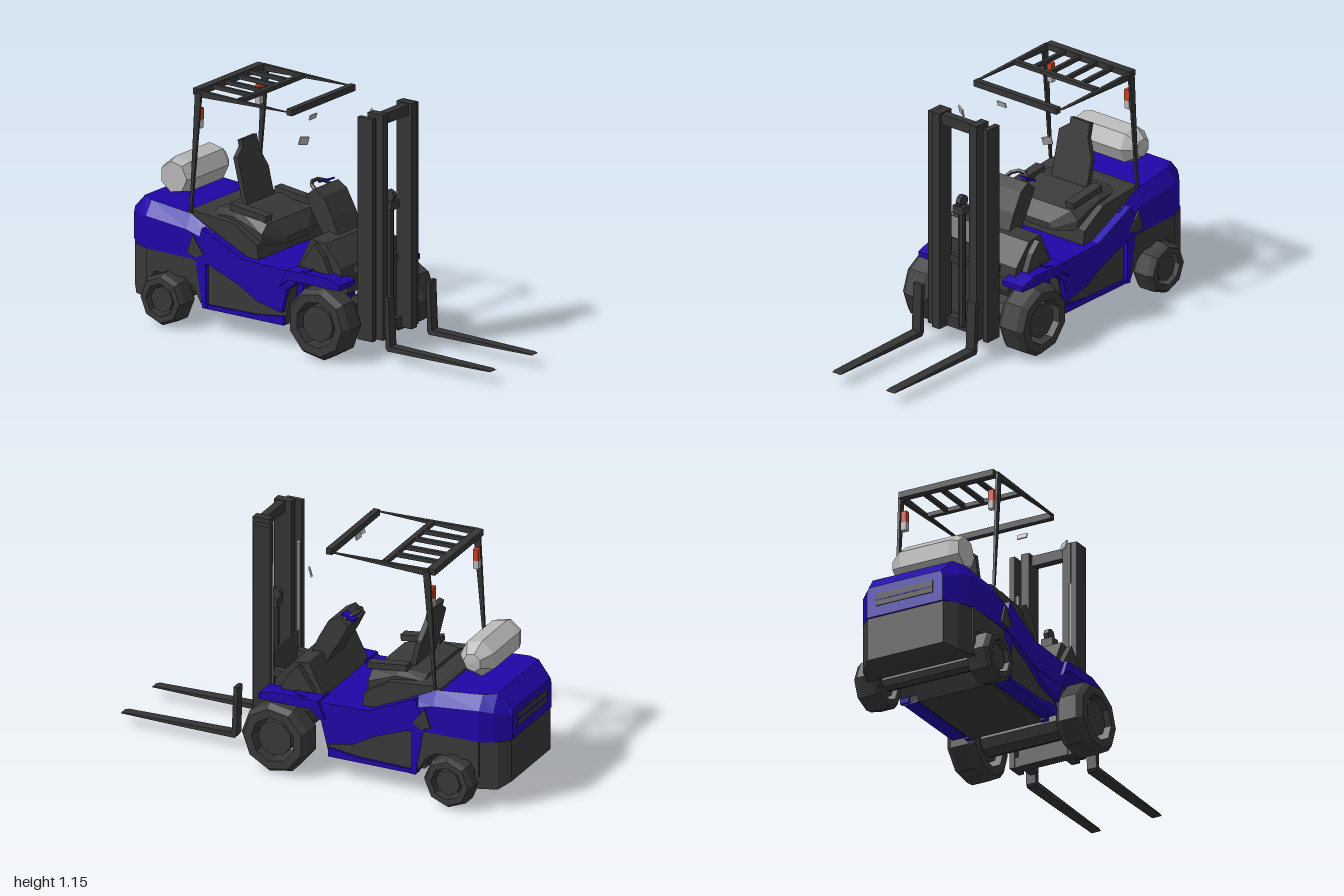
import * as THREE from 'three';

const mat = (name, color, side = THREE.FrontSide) => {
  const m = new THREE.MeshStandardMaterial({ color, flatShading: true, side });
  m.name = name;
  return m;
};

export function createModel() {
  const blue = mat('body blue', 0x2005a6);
  const dark = mat('dark plastic', 0x383838);
  const steel = mat('dark steel', 0x343434);
  const grey = mat('light grey', 0xb8b8b8, THREE.DoubleSide);
  const red = mat('signal red', 0xc8431f);

  const root = new THREE.Group();
  const add = (name, geo, m, x = 0, y = 0, z = 0) => {
    const mesh = new THREE.Mesh(geo, m);
    mesh.name = name;
    mesh.position.set(x, y, z);
    root.add(mesh);
    return mesh;
  };
  // box given by its extents
  const box = (name, m, x0, x1, y0, y1, z0, z1) =>
    add(name, new THREE.BoxGeometry(x1 - x0, y1 - y0, z1 - z0), m, (x0 + x1) / 2, (y0 + y1) / 2, (z0 + z1) / 2);
  // side profile of [z, y] points, extruded across x from x0 to x1
  const side = (name, m, pts, x0, x1) => {
    const shape = new THREE.Shape(pts.map(([z, y]) => new THREE.Vector2(z, y)));
    const geo = new THREE.ExtrudeGeometry(shape, { depth: x1 - x0, bevelEnabled: false });
    geo.rotateY(-Math.PI / 2);
    return add(name, geo, m, x1, 0, 0);
  };
  // square bar between two points
  const bar = (name, m, a, b, w, h) => {
    const p = new THREE.Vector3(...a), q = new THREE.Vector3(...b);
    const mesh = add(name, new THREE.BoxGeometry(w, h, p.distanceTo(q)), m);
    mesh.position.copy(p).add(q).multiplyScalar(0.5);
    mesh.lookAt(q);
    return mesh;
  };
  // loft along z, front to back: [z, lower half width, upper half width, bottom, shoulder, top]
  const loft = (name, m, sections) => {
    const pos = [], idx = [], n = 6;
    for (const [z, wb, wt, yb, ys, yt] of sections) {
      pos.push(-wb, yb, z, wb, yb, z, wb, ys, z, wt, yt, z, -wt, yt, z, -wb, ys, z);
    }
    for (let s = 0; s < sections.length - 1; s++) {
      for (let i = 0; i < n; i++) {
        const a = s * n + i, b = s * n + (i + 1) % n;
        idx.push(a, a + n, b, b, a + n, b + n);
      }
    }
    const e = (sections.length - 1) * n;
    for (let i = 1; i < n - 1; i++) idx.push(0, i, i + 1, e, e + i + 1, e + i);
    const geo = new THREE.BufferGeometry();
    geo.setAttribute('position', new THREE.Float32BufferAttribute(pos, 3));
    geo.setIndex(idx);
    geo.computeVertexNormals();
    return add(name, geo, m);
  };

  // rear counterweight: blue cover over a dark block
  loft('counterweightCover', blue, [
    [-0.5, 0.29, 0.26, 0.335, 0.43, 0.47], [-0.64, 0.29, 0.25, 0.335, 0.47, 0.535],
    [-0.87, 0.285, 0.24, 0.335, 0.49, 0.555], [-0.93, 0.26, 0.21, 0.335, 0.48, 0.56],
    [-1.0, 0.2, 0.19, 0.34, 0.46, 0.49]]);
  loft('counterweightBlock', dark, [
    [-0.85, 0.285, 0.285, 0.1, 0.3, 0.335], [-0.95, 0.25, 0.25, 0.1, 0.3, 0.335],
    [-0.995, 0.2, 0.2, 0.13, 0.3, 0.337]]);
  side('rearArches', dark, [[-0.56, 0.13], [-0.56, 0.335], [-0.87, 0.335], [-0.87, 0.16], [-0.82, 0.235],
    [-0.65, 0.235], [-0.6, 0.2]], -0.285, 0.285);
  box('rearVent', dark, -0.15, 0.15, 0.39, 0.45, -1.004, -0.99);
  box('ventSlat', blue, -0.15, 0.15, 0.417, 0.424, -1.006, -0.99);

  // chassis raised over both axles, floor and blue side panels
  side('chassis', dark, [[0.2, 0.29], [0.2, 0.36], [-0.05, 0.36], [-0.5, 0.32], [-0.86, 0.32], [-0.86, 0.24], [-0.62, 0.24],
    [-0.55, 0.1], [-0.08, 0.1], [-0.03, 0.29]], -0.19, 0.19);
  side('floorBody', blue, [[0.06, 0.4], [-0.05, 0.375], [-0.32, 0.385], [-0.55, 0.49], [-0.6, 0.335],
    [-0.5, 0.32], [-0.32, 0.25], [-0.12, 0.25], [-0.05, 0.3]], -0.292, 0.292);
  side('stepRecess', dark, [[-0.06, 0.31], [-0.1, 0.11], [-0.54, 0.11], [-0.58, 0.335]], -0.265, 0.265);
  for (const s of [-1, 1]) {
    const span = (a, b) => (s > 0 ? [a, b] : [-b, -a]);
    side('sidePanel', blue, [[-0.07, 0.29], [-0.1, 0.17], [-0.24, 0.2], [-0.45, 0.32]], ...span(0.26, 0.29));
    side('stepPlate', blue, [[-0.1, 0.15], [-0.1, 0.105], [-0.54, 0.105], [-0.54, 0.125], [-0.25, 0.13]], ...span(0.2, 0.275));
    side('rearPanelStrip', blue, [[-0.53, 0.34], [-0.53, 0.11], [-0.55, 0.11], [-0.59, 0.34]], ...span(0.24, 0.288));
    side('sideVent', dark, [[-0.54, 0.37], [-0.6, 0.45], [-0.63, 0.36], [-0.58, 0.345]], ...span(0.288, 0.297));
    // front fender with dark kick panel
    side('frontFender', blue, [[0.24, 0.34], [0.24, 0.365], [0.16, 0.39], [-0.06, 0.385], [-0.1, 0.3], [-0.05, 0.34]], ...span(0.19, 0.31));
    side('frontFrame', blue, [[-0.03, 0.3], [-0.06, 0.3], [-0.1, 0.1], [-0.07, 0.1]], ...span(0.18, 0.215));
    side('kickPanel', dark, [[0.15, 0.385], [0.11, 0.47], [0.06, 0.52], [-0.02, 0.4]], ...span(0.14, 0.26));
  }
  side('dashboard', dark, [[0.2, 0.35], [0.19, 0.42], [0.1, 0.52], [0.02, 0.53], [-0.06, 0.37]], -0.23, 0.23);

  // wheels: faceted open tyre around a recessed hub
  const wheel = (name, x, y, z, r, w, sides) => {
    const ri = r * 0.64, h = w / 2;
    const tyre = new THREE.LatheGeometry([[ri, -h], [r * 0.88, -h], [r, -h * 0.6], [r, h * 0.6], [r * 0.88, h], [ri, h], [ri, -h]]
      .map(p => new THREE.Vector2(...p)), sides);
    const hub = new THREE.CylinderGeometry(ri * 0.78, ri * 0.78, w * 0.75, sides);
    add(name + 'Tyre', tyre.rotateZ(-Math.PI / 2), dark, x, y, z);
    add(name + 'Hub', hub.rotateZ(-Math.PI / 2), dark, x, y, z);
  };
  for (const s of [-1, 1]) {
    wheel('front', s * 0.285, 0.172, 0.14, 0.172, 0.145, 9);
    wheel('rear', s * 0.295, 0.128, -0.74, 0.124, 0.12, 8);
  }
  for (const [y, z, r] of [[0.172, 0.14, 0.065], [0.128, -0.74, 0.04]]) {
    add('axle', new THREE.CylinderGeometry(r, r, 0.5, 8).rotateZ(Math.PI / 2), dark, 0, y, z);
  }

  // seat on its engine hood
  side('engineHood', dark, [[-0.26, 0.38], [-0.27, 0.45], [-0.4, 0.53], [-0.62, 0.55], [-0.66, 0.545], [-0.66, 0.4]], -0.25, 0.25);
  loft('seatCushion', dark, [
    [-0.22, 0.1, 0.08, 0.43, 0.44, 0.46], [-0.27, 0.21, 0.17, 0.44, 0.49, 0.53],
    [-0.42, 0.22, 0.18, 0.5, 0.55, 0.575], [-0.55, 0.2, 0.16, 0.5, 0.54, 0.56]]);
  for (const s of [-1, 1]) bar('armrest', dark, [s * 0.17, 0.56, -0.26], [s * 0.17, 0.585, -0.46], 0.05, 0.03);
  const back = new THREE.Shape([[-0.09, 0], [0.12, 0], [0.12, 0.14], [0.08, 0.23], [0.08, 0.3], [-0.035, 0.3], [-0.035, 0.27], [-0.09, 0.23]]
    .map(p => new THREE.Vector2(...p)));
  add('seatBack', new THREE.ExtrudeGeometry(back, { depth: 0.025, bevelEnabled: false }), dark, 0, 0.56, -0.465).rotation.x = -0.24;

  // steering column and wheel
  side('steeringColumn', dark, [[0.125, 0.43], [0.08, 0.51], [0.04, 0.6], [-0.01, 0.69], [-0.06, 0.72], [-0.11, 0.68], [-0.07, 0.6], [-0.02, 0.52], [0.03, 0.41]], -0.09, 0.09);
  const steer = add('steeringWheel', new THREE.TorusGeometry(0.06, 0.01, 5, 10), dark, 0, 0.7, -0.075);
  steer.rotation.x = Math.PI / 2 + 0.5;
  bar('controlLever', blue, [0.05, 0.73, -0.07], [0.06, 0.705, -0.13], 0.045, 0.009);

  // gas tank lying across the rear
  add('gasTank', new THREE.LatheGeometry([[0, -0.195], [0.075, -0.195], [0.09, -0.15], [0.09, 0.11], [0.045, 0.17], [0, 0.175]]
    .map(p => new THREE.Vector2(...p)), 7).rotateZ(-Math.PI / 2), grey, 0, 0.668, -0.78);

  // overhead guard
  box('guardFrontBar', steel, -0.245, 0.245, 1.1, 1.13, -0.105, -0.075);
  box('guardRearBar', steel, -0.25, 0.25, 1.105, 1.135, -0.63, -0.59);
  box('guardMiddleBar', steel, -0.24, 0.24, 1.108, 1.128, -0.385, -0.36);
  for (const x of [-0.14, -0.05, 0.05, 0.14]) {
    bar('guardSlat', steel, [x, 1.118, -0.37], [x, 1.122, -0.6], 0.018, 0.02);
  }
  box('cabMirror', grey, -0.105, -0.055, 1.045, 1.07, -0.08, -0.074).rotation.x = 0.3;
  for (const s of [-1, 1]) {
    const x0 = s * 0.25 - 0.009;
    side('guardSideRail', steel, [[-0.1, 1.117], [-0.6, 1.132], [-0.6, 1.1]], x0, x0 + 0.018);
    side('guardPost', steel, [[-0.575, 1.12], [-0.61, 1.12], [-0.64, 0.54], [-0.63, 0.54]], s * 0.257 - 0.006, s * 0.257 + 0.006);
    // rear lamps and mirrors
    box('rearLampRed', red, s * 0.23 - 0.014, s * 0.23 + 0.014, 0.985, 1.04, -0.618, -0.592);
    box('rearLampClear', grey, s * 0.23 - 0.014, s * 0.23 + 0.014, 0.945, 0.985, -0.62, -0.594);
    const mirror = add('mirror', new THREE.BoxGeometry(0.045, 0.04, 0.008), grey, s * 0.255, 1.0, 0);
    mirror.rotation.set(0.3, s * 0.5, 0);
  }

  // lifting mast
  for (const s of [-1, 1]) {
    box('mastInnerChannel', steel, s * 0.11 - 0.021, s * 0.11 + 0.021, 0.08, 1.155, 0.27, 0.355);
    box('mastOuterChannel', steel, s * 0.163 - 0.014, s * 0.163 + 0.014, 0.08, 1.14, 0.245, 0.33);
    add('liftRam', new THREE.CylinderGeometry(0.01, 0.01, 0.62, 8), grey, s * 0.139, 0.63, 0.256);
    bar('tiltRam', dark, [s * 0.12, 0.4, 0.26], [s * 0.12, 0.38, 0.05], 0.035, 0.035);
    // fork: upright shank and tapering blade
    side('fork', steel, [[0.405, 0.31], [0.425, 0.31], [0.435, 0.08], [0.98, 0.068], [1.0, 0.062], [0.7, 0.057],
      [0.42, 0.055], [0.41, 0.07]], s * 0.16 - 0.025, s * 0.16 + 0.025);
  }
  box('mastTopBeam', steel, -0.1, 0.1, 1.1, 1.15, 0.3, 0.34);
  box('mastLowerBeam', steel, -0.17, 0.17, 0.08, 0.13, 0.25, 0.3);
  box('mastMiddleBeam', steel, -0.15, 0.15, 0.39, 0.43, 0.25, 0.28);
  box('mastBackPlate', dark, -0.13, 0.13, 0.08, 0.5, 0.245, 0.255);
  add('centreRam', new THREE.CylinderGeometry(0.018, 0.018, 0.58, 8), dark, 0, 0.39, 0.3);
  box('chainHead', dark, -0.03, 0.03, 0.67, 0.71, 0.28, 0.33);
  add('chainPulley', new THREE.CylinderGeometry(0.03, 0.03, 0.025, 8).rotateZ(Math.PI / 2), dark, 0, 0.73, 0.3);

  return root;
}
